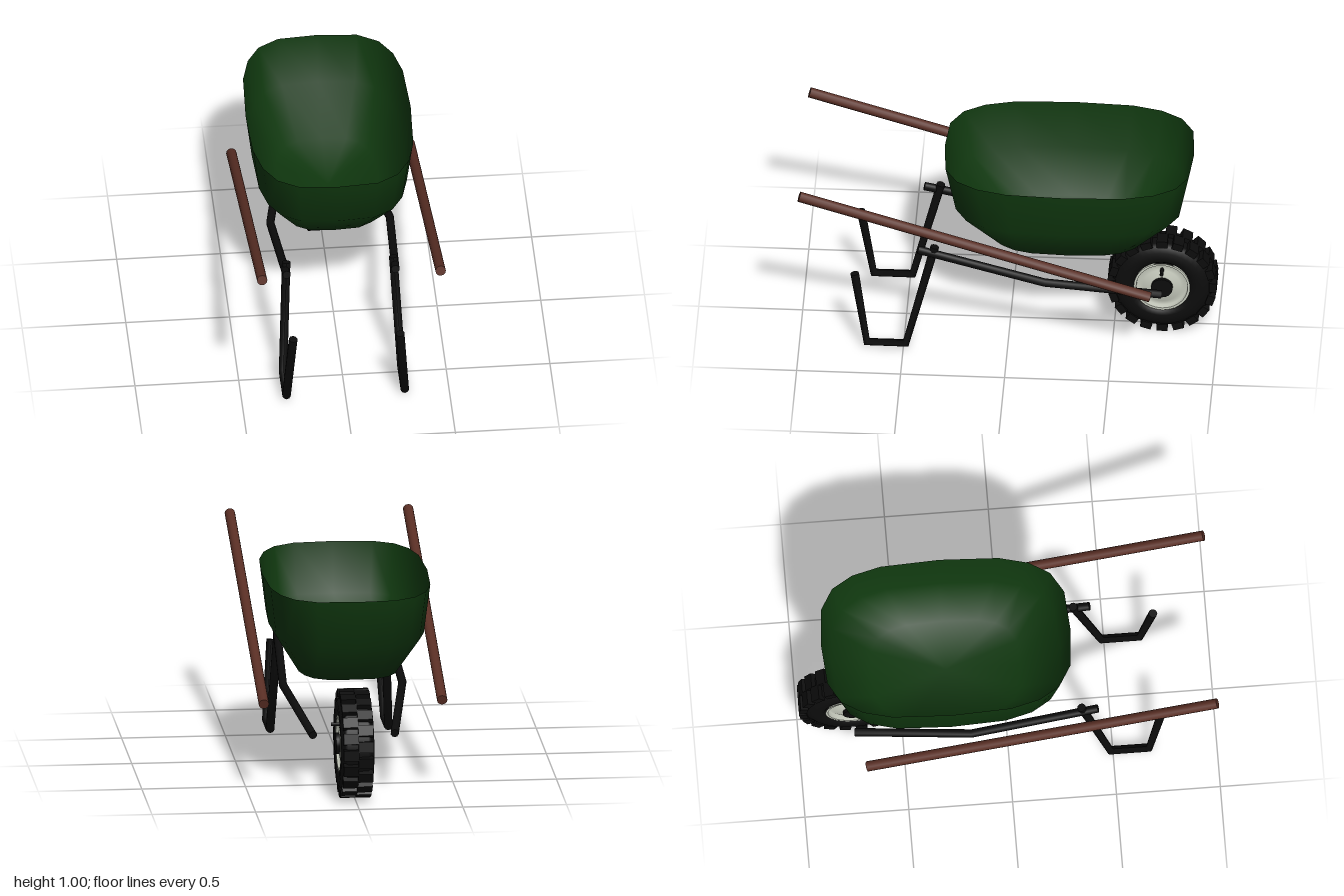
import * as THREE from 'three';

const mat = (name, color, side = THREE.FrontSide) => {
  const m = new THREE.MeshStandardMaterial({ color, side });
  m.name = name;
  return m;
};

const V = (x, y, z) => new THREE.Vector3(x, y, z);

// Round bar swept through a few points, with a shared ring at every bend
function bar(points, radius, sides) {
  const last = points.length - 1;
  const geo = new THREE.CylinderGeometry(1, 1, 1, sides, last);
  const pos = geo.attributes.position;
  const frames = points.map((p, i) => {
    const t = V(0, 0, 0);
    if (i > 0) t.add(points[i - 1].clone().sub(p).normalize());
    if (i < last) t.add(p.clone().sub(points[i + 1]).normalize());
    t.normalize();
    const x = V(1, 0, 0).addScaledVector(t, -t.x).normalize();
    return { p, x, n: x.clone().cross(t) };
  });
  for (let i = 0; i < pos.count; i++) {
    const f = frames[Math.round((0.5 - pos.getY(i)) * last)];
    const v = f.p.clone()
      .addScaledVector(f.x, pos.getX(i) * radius)
      .addScaledVector(f.n, pos.getZ(i) * radius);
    pos.setXYZ(i, v.x, v.y, v.z);
  }
  geo.computeVertexNormals();
  return geo;
}

// Open tub: one rounded outline scaled at three heights, plus a floor
function trayGeometry() {
  const q = [[0, 0.6], [0.19, 0.585], [0.29, 0.525], [0.35, 0.425], [0.385, 0.285], [0.398, 0]];
  const half = [...q, ...q.slice(0, 5).reverse().map(([x, z]) => [x, -z])];
  const outline = [...half, ...half.slice(1, -1).reverse().map(([x, z]) => [-x, z])];
  const levels = [[0.555, 0.62, 0.6], [0.755, 0.925, 0.917], [1, 1, 1]];
  const n = outline.length;
  const pos = [];
  const idx = [];
  for (const [y, sx, sz] of levels)
    for (const [x, z] of outline) pos.push(x * sx, y, z * sz - 0.283);
  pos.push(0, 0.555, -0.283);
  for (let i = 0; i < n; i++) {
    const j = (i + 1) % n;
    for (let k = 0; k < 2; k++) {
      const lo = k * n, hi = lo + n;
      idx.push(lo + i, lo + j, hi + j, lo + i, hi + j, hi + i);
    }
    idx.push(3 * n, j, i);
  }
  const geo = new THREE.BufferGeometry();
  geo.setAttribute('position', new THREE.Float32BufferAttribute(pos, 3));
  geo.setIndex(idx);
  geo.computeVertexNormals();
  return geo;
}

// Lathe around the wheel axle (x); profile is [radius, x]
function axleLathe(profile, segments = 40) {
  const geo = new THREE.LatheGeometry(profile.map(([r, x]) => new THREE.Vector2(r, x)), segments);
  return geo.rotateZ(-Math.PI / 2);
}

export function createModel() {
  const green = mat('tray green', 0x10380f, THREE.DoubleSide);
  const wood = mat('handle brown', 0x5a2f25);
  const black = mat('frame black', 0x0c0c0c);
  const metal = mat('rim grey', 0xc6cabd, THREE.DoubleSide);

  const model = new THREE.Group();
  model.name = 'wheelbarrow';
  const add = (parent, name, geo, material) => {
    const m = new THREE.Mesh(geo, material);
    m.name = name;
    parent.add(m);
    return m;
  };

  add(model, 'tray', trayGeometry(), green);

  // Handles, frame arms and legs on both sides
  for (const [side, s] of [['left', 1], ['right', -1]]) {
    add(model, side + 'Handle',
      bar([V(s * 0.43, 0.98, 0.992), V(s * 0.43, 0.457, -0.695)], 0.025, 12), wood);
    add(model, side + 'FrameArm',
      bar([V(s * 0.262, 0.57, 0.43), V(s * 0.288, 0.42, -0.18), V(s * 0.197, 0.308, -0.735)], 0.02, 10), black);
    add(model, side + 'Leg',
      bar([V(s * 0.258, 0.588, 0.35), V(s * 0.285, 0.033, 0.487),
        V(s * 0.285, 0.033, 0.675), V(s * 0.258, 0.415, 0.735)], 0.021, 10), black);
  }

  // Wheel
  const wheel = new THREE.Group();
  wheel.name = 'wheel';
  wheel.position.set(0, 0.265, -0.732);
  model.add(wheel);

  const wall = [[0.132, 0.06], [0.145, 0.074], [0.165, 0.08], [0.2, 0.08], [0.226, 0.062], [0.24, 0.05]];
  add(wheel, 'tyre', axleLathe([
    ...wall.map(([r, x]) => [r, -x]), ...wall.slice().reverse()]), black);

  // Two rows of staggered tread blocks
  const blocks = 20;
  for (const s of [1, -1]) {
    for (let i = 0; i < blocks; i++) {
      const geo = new THREE.BoxGeometry(0.073, 0.037, 0.052);
      geo.translate(s * 0.0355, 0.2435, 0);
      geo.rotateX(((i + (s > 0 ? 0 : 0.5)) / blocks) * Math.PI * 2);
      add(wheel, 'treadBlock', geo, black);
    }
    // Rim lip and dished disc on each face
    add(wheel, 'rimLip', axleLathe([[0.136, s * 0.075], [0.124, s * 0.075]]), metal);
    add(wheel, 'rimDisc', axleLathe([
      [0.124, s * 0.075], [0.12, s * 0.052], [0.09, s * 0.064], [0.04, s * 0.074]]), metal);
  }

  add(wheel, 'hub', new THREE.CylinderGeometry(0.052, 0.052, 0.178, 20).rotateZ(Math.PI / 2), black);
  const valve = add(wheel, 'valve',
    new THREE.CylinderGeometry(0.009, 0.009, 0.06, 8).rotateZ(Math.PI / 2), black);
  valve.position.set(0.08, 0.094, 0);

  return model;
}
